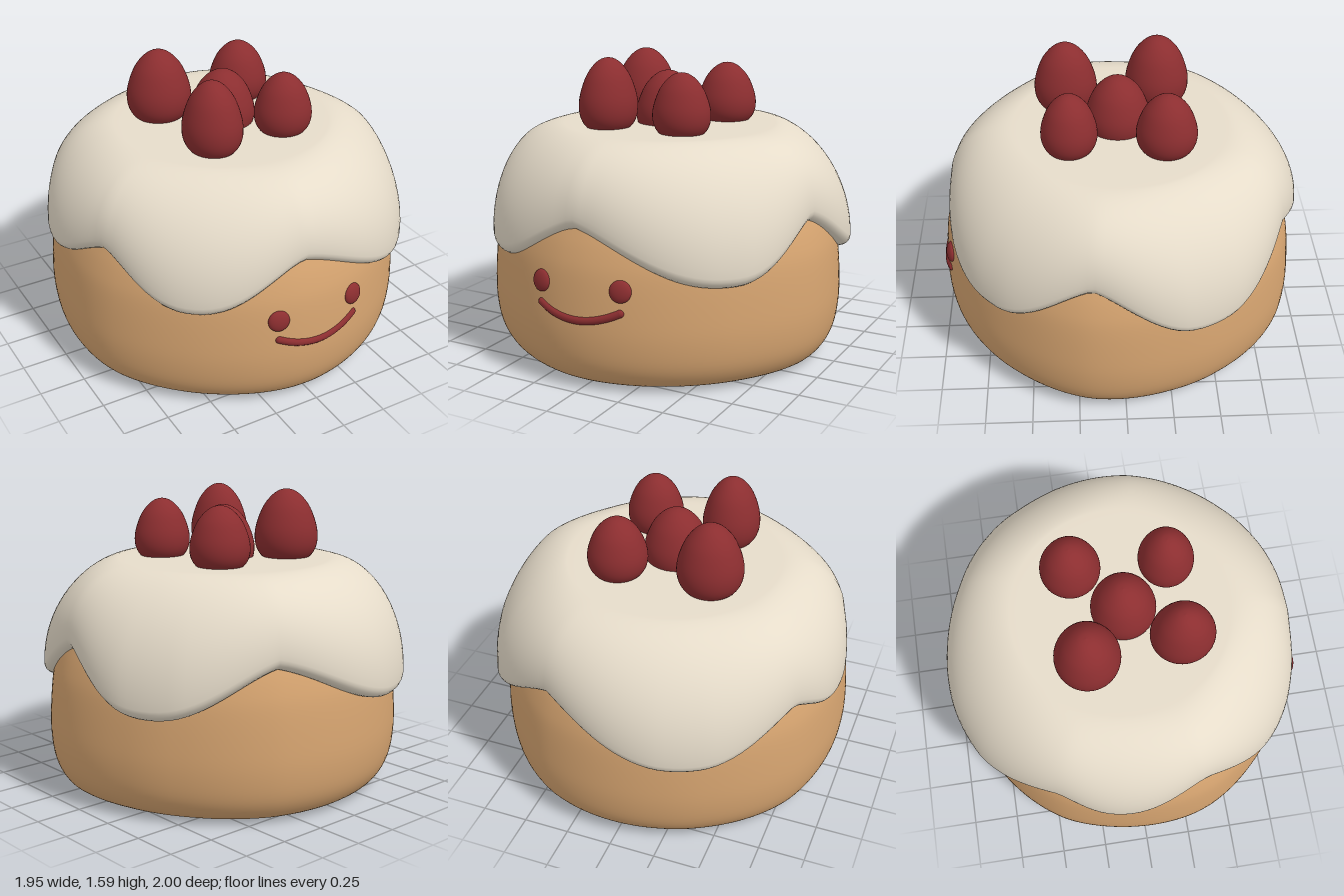
import * as THREE from 'three';

const SEG = 144;
const mat = (name, color) => {
  const m = new THREE.MeshStandardMaterial({ color });
  m.name = name;
  return m;
};

// Alternating drips and peaks of the icing edge: angle from the front (degrees), height
const EDGE = [[-3, .82], [46, .565], [79, .81], [115, .55], [155, .8], [203, .56],
  [241, .755], [261, .65], [290, .815], [322, .595], [357, .82]];

// Height of the icing edge: round at the drips, sharper at the peaks
function edgeHeight(angle) {
  let deg = THREE.MathUtils.radToDeg(angle);
  while (deg < -3) deg += 360;
  while (deg >= 357) deg -= 360;
  const k = EDGE.findIndex((e, i) => deg >= e[0] && deg < EDGE[i + 1][0]);
  const [p, q] = [EDGE[k], EDGE[k + 1]];
  const t = (deg - p[0]) / (q[0] - p[0]);
  const [low, high] = p[1] < q[1] ? [p[1], q[1]] : [q[1], p[1]];
  const u = p[1] < q[1] ? t : 1 - t;
  const ease = .6 * (1 - Math.cos(Math.PI * u)) / 2 + .4 * (1 - Math.cos(Math.PI * u / 2));
  return low + (high - low) * ease ** 1.15;
}
// 0 at a low drip, 1 at a peak
const peakAmount = angle => THREE.MathUtils.clamp((edgeHeight(angle) - .57) / .23, 0, 1);

// Closed loops stacked from top to bottom; profile(angle) gives [radius, y] points
function turned(profile, zShift) {
  const pos = [], index = [];
  let rows = 0;
  for (let j = 0; j < SEG; j++) {
    const a = j / SEG * Math.PI * 2, pts = profile(a);
    rows = pts.length;
    for (const [r, y] of pts) pos.push(r * Math.sin(a), y, r * Math.cos(a) + zShift);
  }
  for (let j = 0; j < SEG; j++) {
    const n = (j + 1) % SEG;
    for (let i = 0; i < rows - 1; i++) {
      const a = j * rows + i, b = n * rows + i;
      index.push(a, a + 1, b, b, a + 1, b + 1);
    }
  }
  const g = new THREE.BufferGeometry();
  g.setAttribute('position', new THREE.Float32BufferAttribute(pos, 3));
  g.setIndex(index);
  g.computeVertexNormals();
  return g;
}

// Sponge profile, top to bottom
const SPONGE = new THREE.SplineCurve([[.72, .98], [.84, .9], [.895, .8], [.932, .7], [.955, .6],
  [.97, .45], [.975, .3], [.96, .17], [.925, .085], [.87, .03], [.78, .007], [.7, .005]]
  .map(p => new THREE.Vector2(...p))).getPoints(44);
const SPONGE_Z = .01;
const swell = a => .985 + .023 * peakAmount(a);

// Point on the sponge's front at a given x and y
function onSponge(x, y) {
  const i = SPONGE.findIndex(p => p.y <= y);
  const [p, q] = [SPONGE[i - 1], SPONGE[i]];
  const r0 = THREE.MathUtils.lerp(p.x, q.x, (p.y - y) / (p.y - q.y));
  const r = r0 * swell(Math.asin(x / r0));
  return new THREE.Vector3(x, y, Math.sqrt(r * r - x * x) + SPONGE_Z);
}

// Icing: flat top, rounded shoulder (more sloping over the drips), then a lip curling in to the sponge
function icingProfile(a) {
  const e = edgeHeight(a), k = peakAmount(a);
  const R = 1.005 - .068 * k, slope = 1.2 - .2 * k, lip = .06, top = 1.225;
  const pts = [[0, top], [.2, top], [.4, top], [.52, top]];
  for (let i = 0; i <= 20; i++) {
    const f = i / 20 * Math.PI / 2;
    pts.push([.58 + (R - .58) * Math.sin(f) ** slope, top - (top - e - lip) * (1 - Math.cos(f))]);
  }
  for (let i = 1; i <= 9; i++) {
    const f = i / 9 * Math.PI * .85;
    pts.push([R - lip * (1 - Math.cos(f)), e + lip * (1 - Math.sin(f))]);
  }
  return pts;
}

export function createModel() {
  const group = new THREE.Group();
  const sponge = mat('sponge', 0xd6a470);
  const icing = mat('icing', 0xe6dcca);
  const berry = mat('berry', 0x8c2e30);
  const add = (name, geometry, material) => {
    const mesh = new THREE.Mesh(geometry, material);
    mesh.name = name;
    group.add(mesh);
    return mesh;
  };

  add('spongeCake', turned(a => [[0, 1], ...SPONGE.map(p => [p.x * swell(a), p.y]), [0, .005]], SPONGE_Z), sponge);
  add('icing', turned(icingProfile, -.005), icing);

  // Berries: x, z, x radius, z radius, bottom, top
  const egg = new THREE.SplineCurve([[0, 0], [.45, .01], [.75, .06], [.94, .18], [1, .34], [.94, .52],
    [.75, .74], [.5, .89], [.24, .975], [0, 1]].map(p => new THREE.Vector2(...p))).getPoints(36);
  egg.forEach(p => { p.x = Math.max(0, p.x); });
  const berryGeometry = new THREE.LatheGeometry(egg, 40);
  [[-.27, -.215, .175, .172, 1.2, 1.595], [.235, -.235, .16, .16, 1.2, 1.54], [-.005, .01, .175, .172, 1.15, 1.51],
    [-.22, .285, .155, .17, 1.2, 1.595], [.215, .27, .155, .148, 1.2, 1.54]].forEach(([x, z, rx, rz, bottom, top]) => {
    const b = add('berry', berryGeometry, berry);
    b.position.set(x, bottom, z);
    b.scale.set(rx, top - bottom, rz);
  });

  // Eyes: flattened balls lying on the sponge
  for (const [x, y] of [[-.217, .547], [.235, .555]]) {
    const eye = add('eye', new THREE.SphereGeometry(.057, 28, 18), berry);
    eye.position.copy(onSponge(x, y));
    eye.rotation.set(-.15, Math.asin(x / .97), 0, 'YXZ');
    eye.scale.z = .45;
  }

  // Smiling mouth with round ends
  const line = [];
  for (let i = 0; i <= 10; i++) {
    const u = i / 5 - 1;
    const p = onSponge(.01 + .225 * u, .385 + .055 * u * u + .004 * u);
    p.z -= .008;
    line.push(p);
  }
  add('mouth', new THREE.TubeGeometry(new THREE.CatmullRomCurve3(line), 48, .022, 12), berry);
  for (const end of [line[0], line[10]])
    add('mouthEnd', new THREE.SphereGeometry(.022, 16, 12), berry).position.copy(end);

  return group;
}
